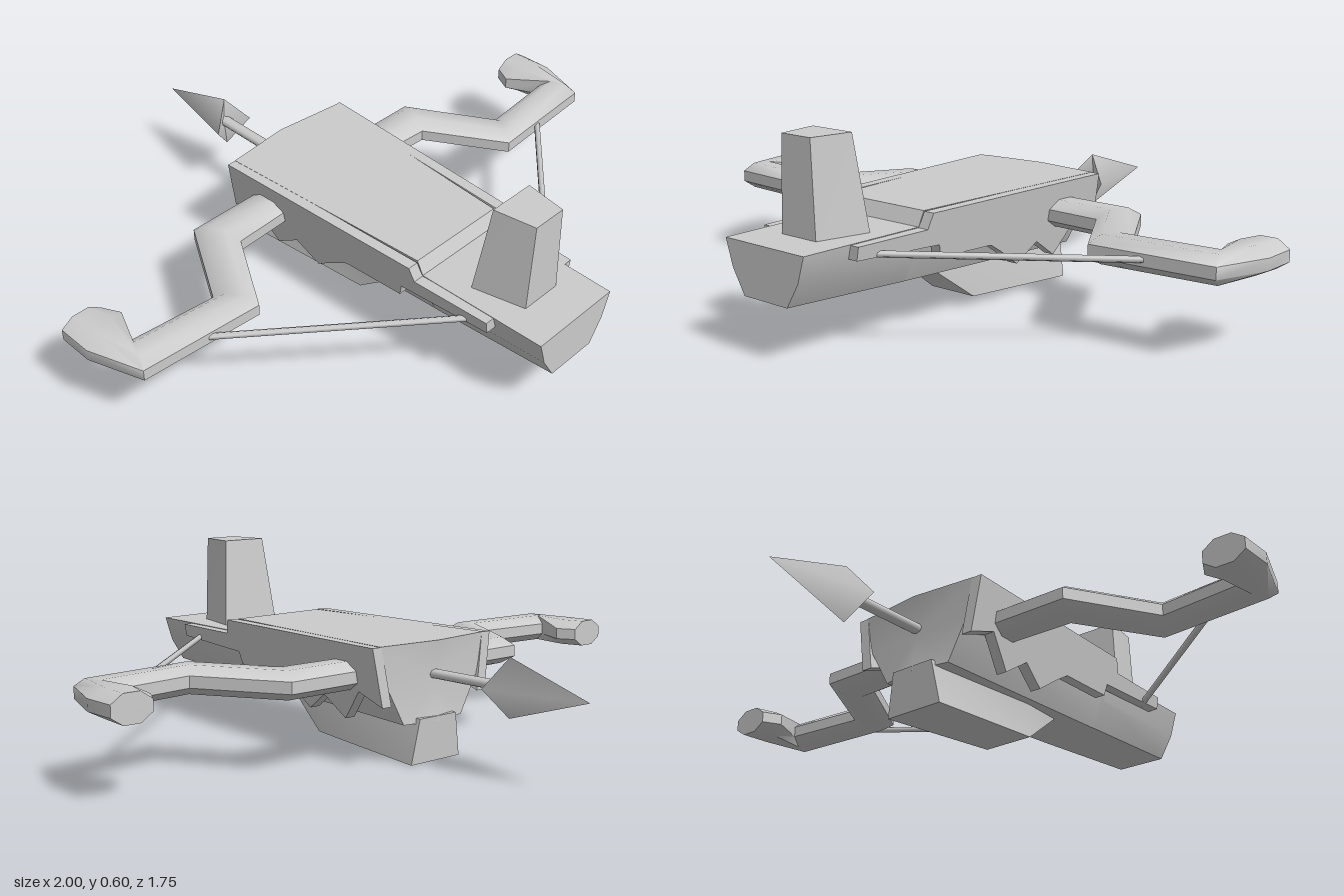
import * as THREE from 'three';
import { toCreasedNormals } from 'three/addons/utils/BufferGeometryUtils.js';

const material = new THREE.MeshStandardMaterial({ color: 0xcccccc });

function add(parent, name, geometry) {
  const mesh = new THREE.Mesh(geometry, material);
  mesh.name = name;
  parent.add(mesh);
  return mesh;
}

// Skin a list of equal-length rings of [x, y, z], with fan caps, facing outward.
function loft(rings, crease = 0.5) {
  const tris = [];
  const n = rings[0].length;
  const v = rings.map((ring) => ring.map((p) => new THREE.Vector3(...p)));
  const tri = (a, b, c) => {
    const area = b.clone().sub(a).cross(c.clone().sub(a)).length();
    if (area > 1e-8) tris.push([a, b, c]);
  };
  for (let i = 0; i < v.length - 1; i++) {
    for (let j = 0; j < n; j++) {
      const k = (j + 1) % n;
      tri(v[i][j], v[i][k], v[i + 1][k]);
      tri(v[i][j], v[i + 1][k], v[i + 1][j]);
    }
  }
  const middle = (ring) => ring.reduce((s, p) => s.add(p), new THREE.Vector3()).divideScalar(n);
  const first = v[0], last = v[v.length - 1];
  const c0 = middle(first), c1 = middle(last);
  for (let j = 0; j < n; j++) {
    const k = (j + 1) % n;
    tri(c0, first[k], first[j]);
    tri(c1, last[j], last[k]);
  }
  const volume = tris.reduce((s, [a, b, c]) => s + a.dot(b.clone().cross(c)), 0);
  const points = tris.flatMap(([a, b, c]) => (volume < 0 ? [a, c, b] : [a, b, c]));
  return toCreasedNormals(new THREE.BufferGeometry().setFromPoints(points), crease);
}

// Symmetric stock section; the centre line can reach further back than the corners.
function stockRing(z, top, bottom, wt, wm, wb, peak = 0) {
  const mid = bottom + (top - bottom) * 0.48;
  return [
    [0, top, z - peak], [wt, top, z], [wm, mid, z], [wb, bottom, z],
    [0, bottom, z - peak], [-wb, bottom, z], [-wm, mid, z], [-wt, top, z],
  ];
}

// Four-cornered section with separate front and back widths.
function quad(y, zFront, zBack, wFront, wBack) {
  return [[-wFront, y, zFront], [wFront, y, zFront], [wBack, y, zBack], [-wBack, y, zBack]];
}

function rod(a, b, radius) {
  const path = new THREE.LineCurve3(new THREE.Vector3(...a), new THREE.Vector3(...b));
  return new THREE.TubeGeometry(path, 1, radius, 6, false);
}

// Bent bow arm from pairs of rear and front edge points [x, z].
function limbGeometry() {
  const pairs = [
    [[0.18, -0.20], [0.18, -0.07]],
    [[0.465, -0.20], [0.40, -0.06]],
    [[0.62, 0.07], [0.55, 0.187]],
    [[0.89, 0.043], [0.94, 0.16]],
    [[0.84, -0.065], [1.0, -0.01]],
    [[0.87, -0.123], [1.0, -0.123]],
  ];
  const rings = pairs.map(([a, b]) => {
    const ring = [];
    for (let i = 0; i < 8; i++) {
      const t = (i / 8) * Math.PI * 2 + Math.PI / 8;
      const s = 0.5 + 0.5 * Math.cos(t) / Math.cos(Math.PI / 8);
      const y = 0.268 + 0.043 * Math.sin(t) / Math.cos(Math.PI / 8);
      ring.push([a[0] + (b[0] - a[0]) * s, y, a[1] + (b[1] - a[1]) * s]);
    }
    return ring;
  });
  return loft(rings, 0.9);
}

// Thin leaning side plate with a jagged lower edge, outline in [z, y].
function plateGeometry() {
  const outline = [
    [0.71, 0.32], [0.455, 0.32], [0.44, 0.366], [-0.29, 0.366], [-0.30, 0.19],
    [-0.2, 0.225], [-0.12, 0.13], [-0.03, 0.19], [0.05, 0.135], [0.13, 0.19],
    [0.18, 0.22], [0.39, 0.225], [0.4, 0.265], [0.71, 0.28],
  ];
  const shape = new THREE.Shape(outline.map(([z, y]) => new THREE.Vector2(-z, y)));
  const geometry = new THREE.ExtrudeGeometry(shape, { depth: 0.035, bevelEnabled: false });
  geometry.rotateY(Math.PI / 2);
  const p = geometry.attributes.position;
  for (let i = 0; i < p.count; i++) {
    const lean = 0.17 * (0.366 - p.getY(i));
    p.setX(i, p.getX(i) - 0.035 + 0.23 - 0.048 * p.getZ(i) - lean);
  }
  geometry.computeVertexNormals();
  return geometry;
}

export function createModel() {
  const model = new THREE.Group();
  model.name = 'crossbow';

  // Stock, with a raised deck behind the step
  add(model, 'stock', loft([
    stockRing(0.873, 0.322, 0.17, 0.155, 0.13, 0.085),
    stockRing(0.455, 0.322, 0.152, 0.165, 0.145, 0.1),
    stockRing(0.435, 0.366, 0.151, 0.167, 0.147, 0.1),
    stockRing(-0.29, 0.367, 0.125, 0.215, 0.185, 0.12, 0.022),
  ]));

  // Upright grip on the stock
  add(model, 'grip', loft([
    quad(0.315, 0.75, 0.585, 0.068, 0.107),
    quad(0.602, 0.75, 0.618, 0.056, 0.077),
  ], 0.7));

  // Keel wedge underneath
  add(model, 'keel', loft([
    [[-0.06, 0.16, 0.31], [0.06, 0.16, 0.31], [0.06, 0.145, 0.29], [-0.06, 0.145, 0.29]],
    [[-0.08, 0.16, 0.13], [0.08, 0.16, 0.13], [0.085, 0.03, 0.13], [-0.085, 0.03, 0.13]],
    [[-0.075, 0.14, -0.312], [0.075, 0.14, -0.312], [0.1, 0.003, -0.302], [-0.1, 0.003, -0.302]],
  ]));

  // Bolt with a notched four-edged head
  const bolt = new THREE.Group();
  bolt.name = 'bolt';
  model.add(bolt);
  const shaft = new THREE.CylinderGeometry(0.02, 0.02, 0.36, 8);
  shaft.rotateX(Math.PI / 2).scale(1, 0.75, 1).translate(0, 0.265, -0.44);
  add(bolt, 'boltShaft', shaft);
  const y = 0.264;
  add(bolt, 'boltHead', loft([
    Array(4).fill([0, y, -0.6]),
    [[0.07, y, -0.547], [0, y + 0.088, -0.59], [-0.07, y, -0.547], [0, y - 0.088, -0.59]],
    Array(4).fill([0, y, -0.873]),
  ], 1.3));

  // Arms, plates and strings on both sides
  const limb = limbGeometry();
  const plate = plateGeometry();
  const string = rod([0.73, 0.268, 0.16], [0.16, 0.285, 0.65], 0.01);
  for (const side of [1, -1]) {
    const half = new THREE.Group();
    half.name = side > 0 ? 'leftSide' : 'rightSide';
    half.scale.x = side;
    add(half, 'bowArm', limb);
    add(half, 'sidePlate', plate);
    add(half, 'bowString', string);
    model.add(half);
  }
  return model;
}
